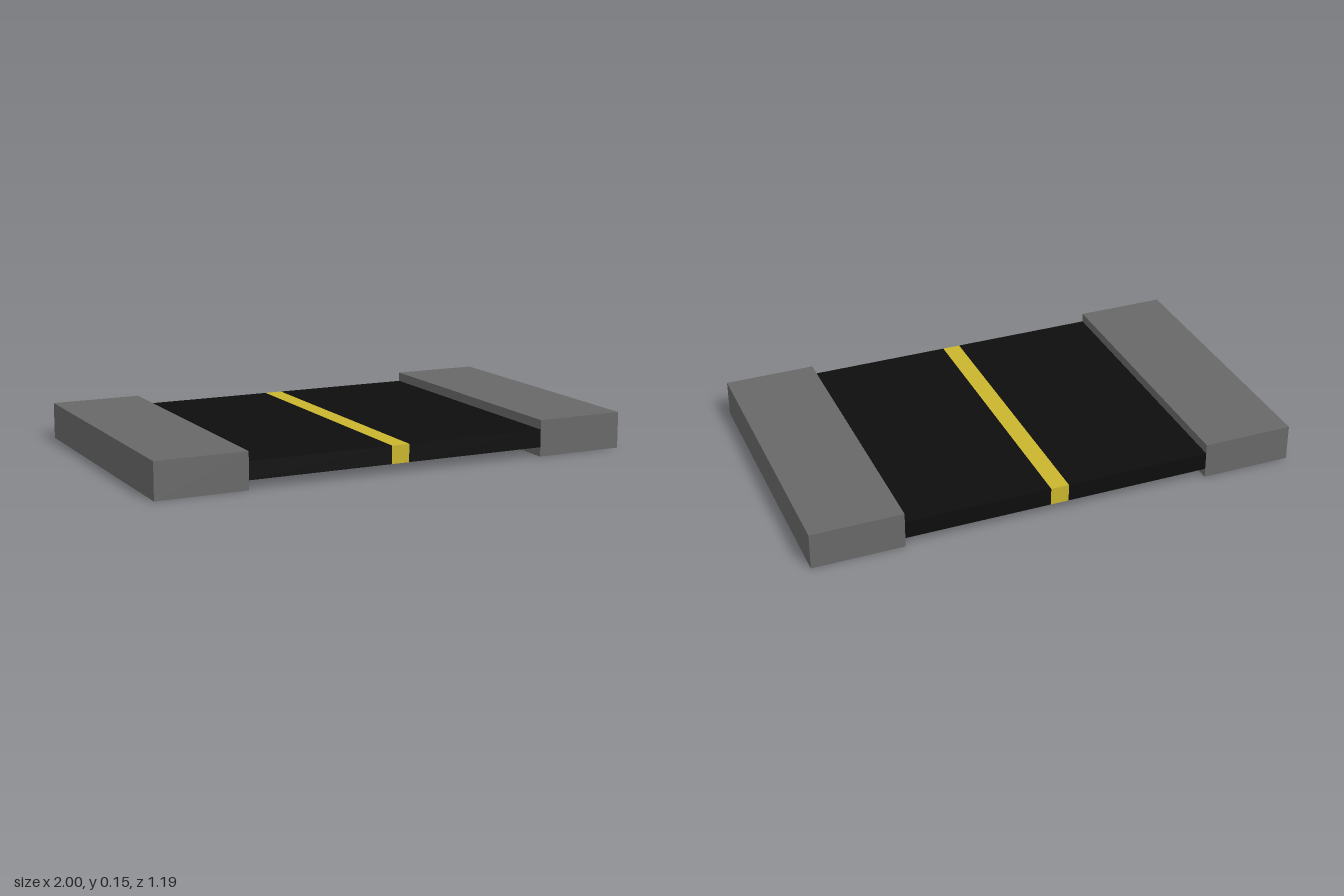
import * as THREE from 'three';

const DEPTH = 1.186, CAP_INNER = 0.63, CAP_HEIGHT = 0.148;
const BODY_BOTTOM = 0.038, BODY_TOP = 0.11, STRIPE_HALF = 0.037;

function material(name, color) {
  const m = new THREE.MeshStandardMaterial({ color });
  m.name = name;
  return m;
}

// Full-depth block between two x and two y limits
function block(name, x0, x1, y0, y1, mat) {
  const mesh = new THREE.Mesh(new THREE.BoxGeometry(x1 - x0, y1 - y0, DEPTH), mat);
  mesh.position.set((x0 + x1) / 2, (y0 + y1) / 2, 0);
  mesh.name = name;
  return mesh;
}

export function createModel() {
  const model = new THREE.Group();
  model.name = 'bandedSlab';
  const grey = material('grey', 0x686868);
  const black = material('black', 0x0d0d0d);
  const yellow = material('yellow', 0xcab52d);

  // Raised end caps and the two halves of the thin body
  for (const [side, s] of [['left', 1], ['right', -1]]) {
    const span = (a, b) => (s > 0 ? [a, b] : [-b, -a]);
    model.add(block(side + 'EndCap', ...span(CAP_INNER, 1), 0, CAP_HEIGHT, grey));
    model.add(block(side + 'Body', ...span(STRIPE_HALF, CAP_INNER), BODY_BOTTOM, BODY_TOP, black));
  }

  // Centre band: yellow on top, front and back, black underneath
  model.add(block('centreBand', -STRIPE_HALF, STRIPE_HALF, BODY_BOTTOM, BODY_TOP,
    [black, black, yellow, black, yellow, yellow]));

  return model;
}
